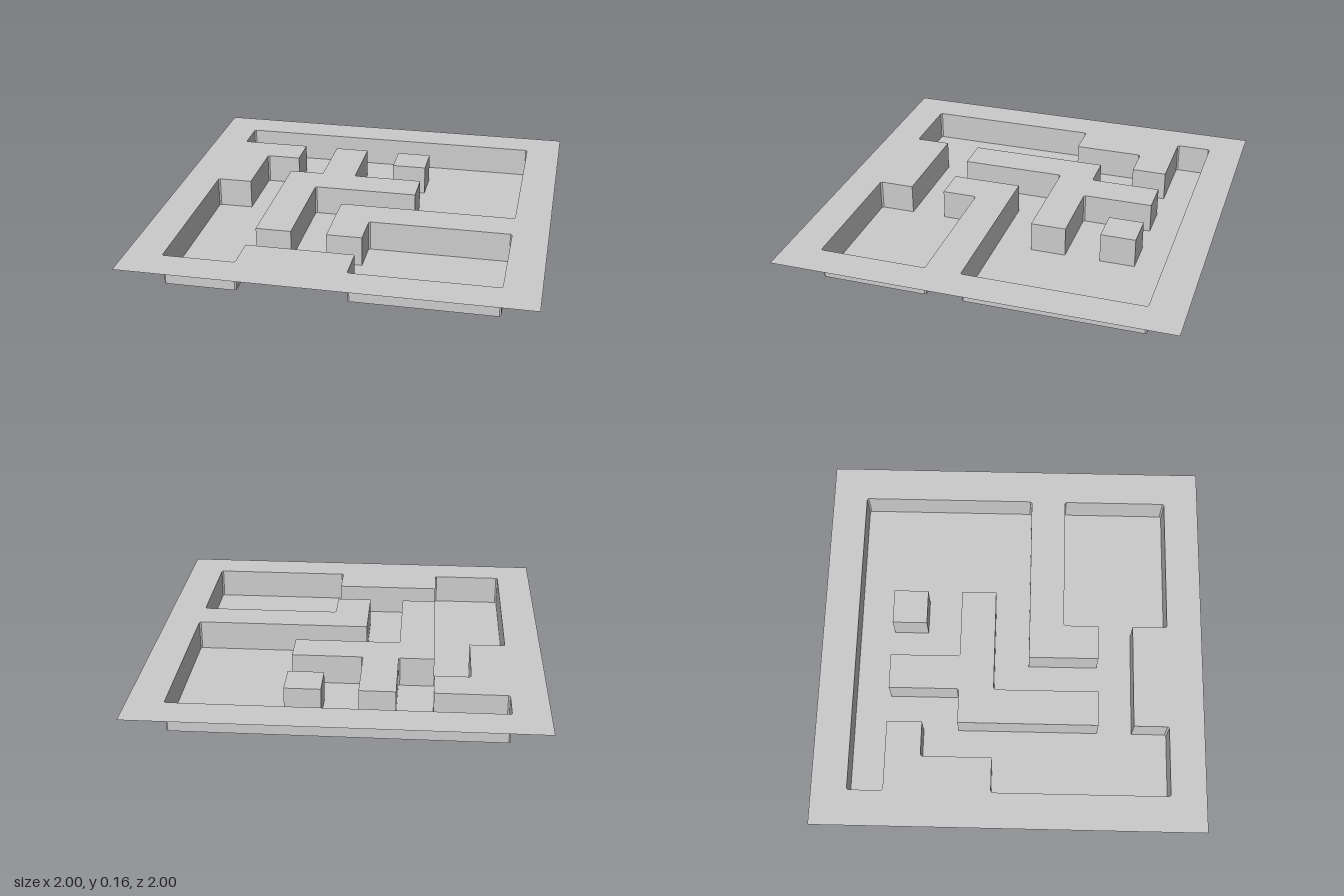
import * as THREE from 'three';

const CELL = 2 / 11;      // maze grid step
const HEIGHT = 0.155;     // depth of the corridors
const CHAMFER = 0.008;    // tiny cut on inner corridor corners

// Corners in half-cell units (x, z); all loops run so the corridor lies on their right-hand side
const corridor = [
  [-9, -9], [9, -9], [9, 1], [-1, 1], [-1, 5], [1, 5], [1, 3], [9, 3], [9, 9], [1, 9],
  [1, 7], [-5, 7], [-5, 9], [-9, 9], [-9, -1], [-7, -1], [-7, -5], [-5, -5], [-5, -7], [-9, -7],
];
const branchIsland = [
  [-3, -7], [-3, -3], [-5, -3], [-5, 5], [-3, 5], [-3, -1], [3, -1], [3, -3], [-1, -3], [-1, -7],
];
const squareIsland = [[1, -7], [1, -5], [3, -5], [3, -7]];

// Scales a loop to model units and cuts the corners that are convex for the corridor
function outline(cells) {
  const p = cells.map(([x, z]) => new THREE.Vector2(x * CELL / 2, z * CELL / 2));
  return p.flatMap((c, i) => {
    const a = p[(i + p.length - 1) % p.length].clone().sub(c).normalize();
    const b = p[(i + 1) % p.length].clone().sub(c).normalize();
    if (b.cross(a) < 0) return [c];
    return [a, b].map((d) => c.clone().addScaledVector(d, CHAMFER));
  });
}

// Flat horizontal sheet with holes
function sheet(name, loop, holes, y, material) {
  const flip = (pts) => pts.map((v) => new THREE.Vector2(v.x, -v.y));
  const shape = new THREE.Shape(flip(loop));
  shape.holes = holes.map((h) => new THREE.Path(flip(h)));
  const mesh = new THREE.Mesh(new THREE.ShapeGeometry(shape).rotateX(-Math.PI / 2), material);
  mesh.position.y = y;
  mesh.name = name;
  return mesh;
}

// Vertical strip following a closed loop, facing the corridor
function walls(name, loop, material) {
  const pos = [];
  loop.forEach((a, i) => {
    const b = loop[(i + 1) % loop.length];
    const a0 = [a.x, 0, a.y], a1 = [a.x, HEIGHT, a.y];
    const b0 = [b.x, 0, b.y], b1 = [b.x, HEIGHT, b.y];
    pos.push(...a0, ...b0, ...b1, ...a0, ...b1, ...a1);
  });
  const geometry = new THREE.BufferGeometry();
  geometry.setAttribute('position', new THREE.Float32BufferAttribute(pos, 3));
  geometry.computeVertexNormals();
  const mesh = new THREE.Mesh(geometry, material);
  mesh.name = name;
  return mesh;
}

export function createModel() {
  const group = new THREE.Group();
  group.name = 'maze';
  const material = new THREE.MeshStandardMaterial({
    color: 0xcccccc, flatShading: true, side: THREE.DoubleSide,
  });
  const outer = outline(corridor);
  const branch = outline(branchIsland);
  const square = outline(squareIsland);
  const rim = [[-1, -1], [1, -1], [1, 1], [-1, 1]].map(([x, z]) => new THREE.Vector2(x, z));

  // Rim around the maze and the sunken corridor floor
  group.add(sheet('rim', rim, [outer], HEIGHT, material));
  group.add(sheet('corridorFloor', outer, [branch, square], 0, material));
  group.add(walls('corridorWalls', outer, material));

  // Raised islands, hollow underneath
  for (const [name, loop] of [['branchIsland', branch], ['squareIsland', square]]) {
    group.add(sheet(name + 'Top', loop, [], HEIGHT, material));
    group.add(walls(name + 'Walls', loop, material));
  }
  return group;
}
